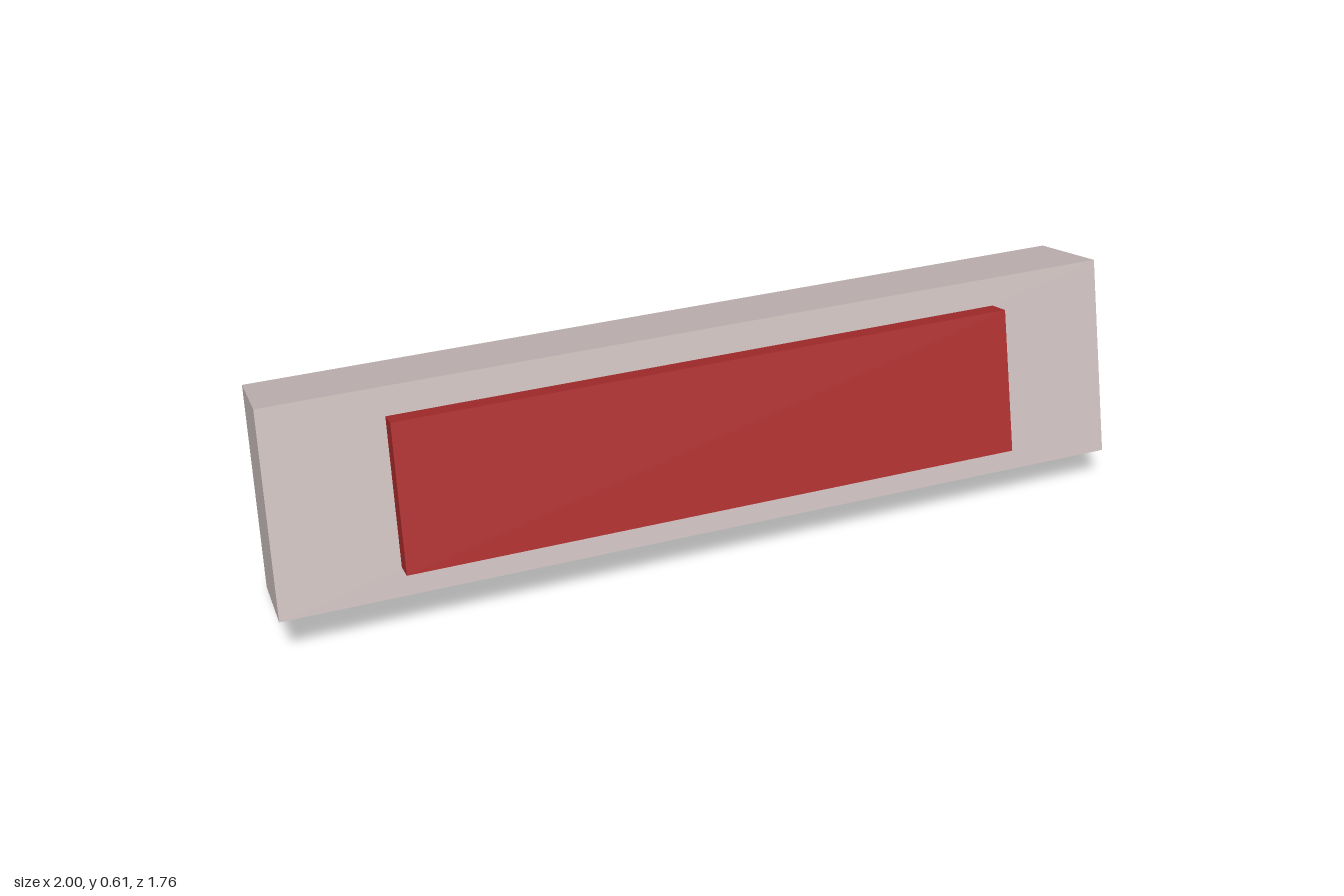
import * as THREE from 'three';

// Edge vectors of the slab: the whole object is tilted and slightly skewed.
const LENGTH = new THREE.Vector3(1.75, -0.027, -1.36);
const HEIGHT = new THREE.Vector3(-0.081, 0.484, -0.139);
const DEPTH = new THREE.Vector3(0.164, 0.102, 0.264);

export function createModel() {
  const group = new THREE.Group();
  group.name = 'framedPanel';

  const tilt = new THREE.Matrix4()
    .makeBasis(LENGTH, HEIGHT, DEPTH)
    .setPosition(0, 0.311, 0);

  // Sizes and offsets are fractions of the slab's own edges.
  function addBox(name, color, size, offsetZ) {
    const geometry = new THREE.BoxGeometry(...size);
    geometry.translate(0, 0, offsetZ);
    geometry.applyMatrix4(tilt);
    const material = new THREE.MeshStandardMaterial({ color });
    const mesh = new THREE.Mesh(geometry, material);
    mesh.name = name;
    group.add(mesh);
  }

  // Main slab
  addBox('slab', 0xc6bab8, [1, 1, 1], 0);
  // Raised panel on the front face
  addBox('raisedPanel', 0xa82c2c, [0.726, 0.72, 0.25], 0.625);

  return group;
}
